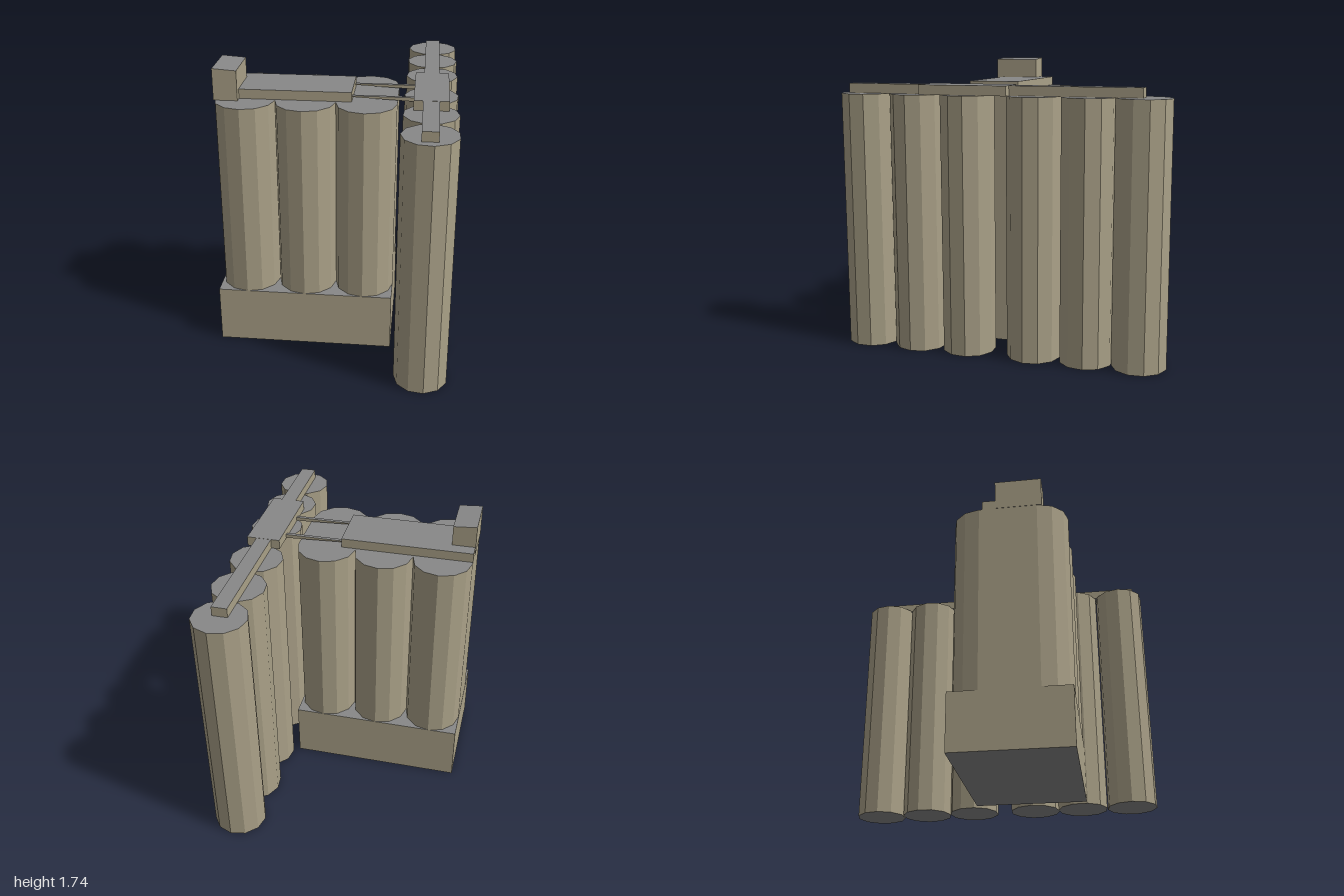
import * as THREE from 'three';

export function createModel() {
  const model = new THREE.Group();
  const tan = new THREE.MeshStandardMaterial({ color: 0xaaa188 });
  tan.name = 'concrete tan';
  const grey = new THREE.MeshStandardMaterial({ color: 0x888888 });
  grey.name = 'roof grey';
  tan.flatShading = grey.flatShading = true;
  const boxMats = [tan, tan, grey, grey, tan, tan];

  const add = (name, geometry, materials) => {
    const mesh = new THREE.Mesh(geometry, materials);
    mesh.name = name;
    model.add(mesh);
    return mesh;
  };

  // Box from its limits on each axis
  const box = (name, x0, x1, y0, y1, z0, z1) => {
    const g = new THREE.BoxGeometry(x1 - x0, y1 - y0, z1 - z0);
    g.translate((x0 + x1) / 2, (y0 + y1) / 2, (z0 + z1) / 2);
    return add(name, g, boxMats);
  };

  // Shift the height of the corners chosen by a rule
  const shiftY = (mesh, test, dy) => {
    const p = mesh.geometry.attributes.position;
    for (let i = 0; i < p.count; i++) {
      if (test(p.getX(i), p.getY(i))) p.setY(i, p.getY(i) + dy);
    }
    mesh.geometry.computeVertexNormals();
  };

  const roofY = 1.545;

  // Free-standing row of six silos
  [-0.84, -0.525, -0.205, 0.205, 0.52, 0.84].forEach((z, i) => {
    const g = new THREE.CylinderGeometry(0.161, 0.161, roofY, 11);
    g.rotateY(0.2 + i * 0.9);
    g.translate(0.55, roofY / 2, z);
    add('rowSilo' + (i + 1), g, [tan, grey, grey]);
  });

  // Base of the main block
  box('base', -0.715, 0.355, 0, 0.355, -0.155, 0.553);

  // Main block: joined silos, scalloped along front and back, flat at both ends
  const r = 0.178, left = -0.713, sides = 6;
  const outline = [];
  for (let s = 0; s < 3; s++) {
    for (let k = 0; k <= sides; k++) {
      if (s > 0 && k === 0) continue;
      const a = Math.PI * (1 - k / sides);
      outline.push(new THREE.Vector2(left + r * (2 * s + 1) + r * Math.cos(a), r * Math.sin(a)));
    }
  }
  const front = outline.map(p => new THREE.Vector2(p.x, -0.375 - p.y));
  const back = outline.map(p => new THREE.Vector2(p.x, -0.022 + p.y)).reverse();
  const block = new THREE.ExtrudeGeometry(new THREE.Shape([...front, ...back]), {
    depth: roofY - 0.355, bevelEnabled: false,
  });
  block.rotateX(-Math.PI / 2);
  block.translate(0, 0.355, 0);
  add('joinedSilos', block, [grey, tan]);

  // Roof gallery and the lift tower with its slightly sloping top
  box('roofGallery', -0.713, 0.09, roofY, 1.602, 0.04, 0.36);
  const tower = box('liftTower', -0.715, -0.572, roofY, 1.735, 0.12, 0.405);
  shiftY(tower, (x, y) => x > -0.6 && y > 1.7, -0.01);

  // Conveyor housing along the silo row
  box('rowConveyor', 0.502, 0.594, roofY, 1.602, -0.838, 0.943);
  box('transferHouse', 0.449, 0.652, roofY, 1.603, -0.068, 0.465);

  // Pair of thin bridges, deeper towards the row
  [0.07, 0.3].forEach((z, i) => {
    const bridge = box('bridge' + (i + 1), 0.09, 0.45, 1.547, 1.57, z, z + 0.022);
    shiftY(bridge, (x, y) => x < 0.2 && y < 1.56, 0.016);
  });

  return model;
}
